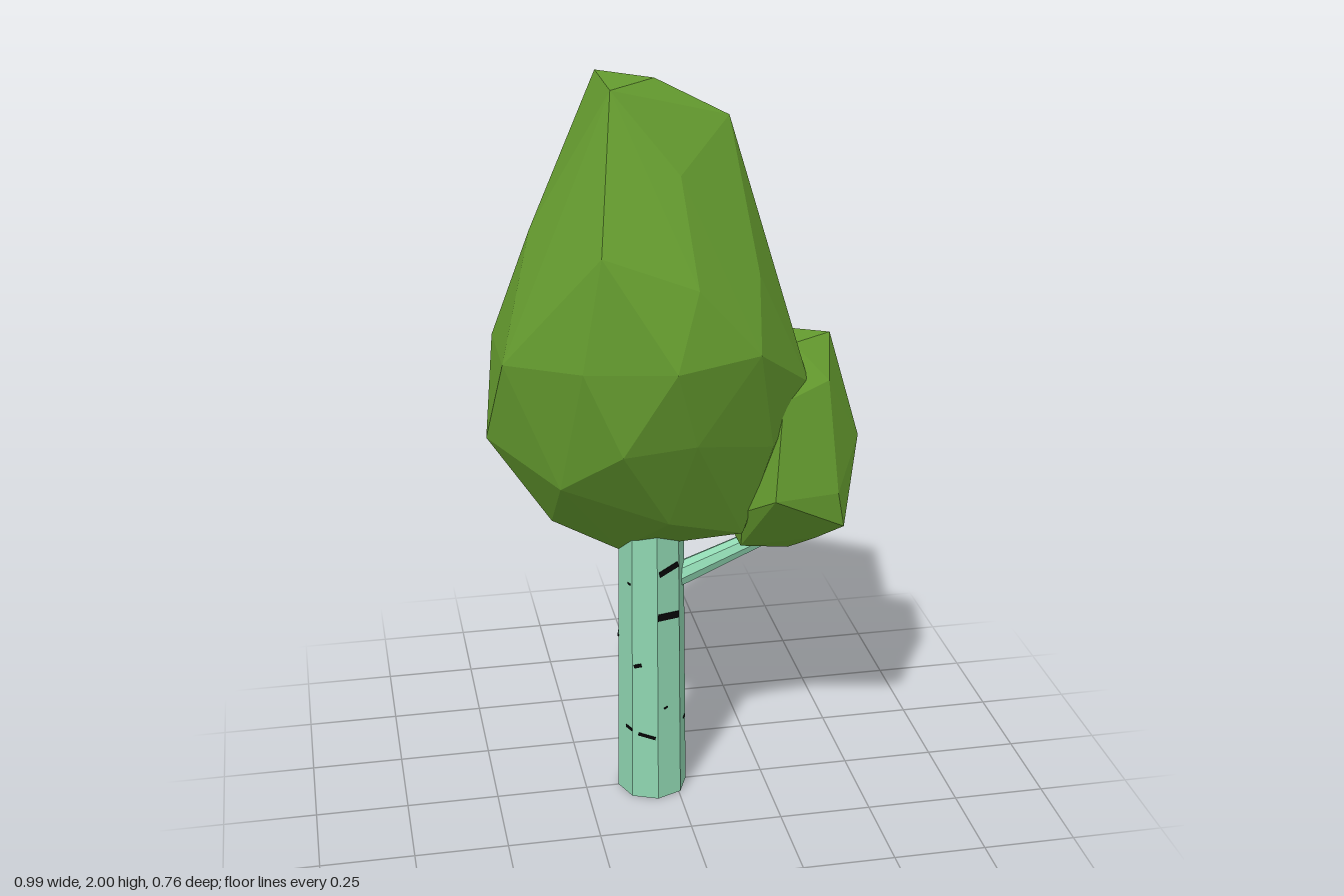
import * as THREE from 'three';
import { ConvexGeometry } from 'three/addons/geometries/ConvexGeometry.js';

const material = (name, color) => {
  const m = new THREE.MeshStandardMaterial({ color });
  m.name = name;
  return m;
};

export function createModel() {
  const leaf = material('leafGreen', 0x659c2f);
  const bark = material('mintBark', 0x8fd6b1);
  const black = material('barkBlack', 0x060606);
  const tree = new THREE.Group();
  tree.name = 'tree';

  const add = (name, geometry, mat, parent = tree) => {
    const mesh = new THREE.Mesh(geometry, mat);
    mesh.name = name;
    parent.add(mesh);
    return mesh;
  };
  const flat = (geometry) => {
    const g = geometry.toNonIndexed();
    g.computeVertexNormals();
    return g;
  };

  // Main crown: outlines in the xy plane at rising depth, mirrored front to back
  const layers = [
    [0, [[0.14, 1.9], [-0.05, 2], [-0.37, 1.63], [-0.495, 1.08], [-0.33, 0.83],
      [-0.15, 0.73], [0.28, 1.0], [0.3, 1.36]]],
    [0.12, [[-0.18, 2], [-0.46, 1.32], [0.16, 0.805], [0.33, 1.22]]],
    [0.19, [[-0.02, 1.8], [0.18, 1.54], [-0.33, 1.0], [-0.05, 0.88]]],
    [0.2, [[-0.33, 1.52], [0.22, 1.08]]],
    [0.31, [[-0.235, 1.64], [-0.285, 1.35], [0.16, 1.37], [0, 1.14]]],
    [0.325, [[0, 1.55], [-0.19, 1.13]]],
    [0.382, [[-0.063, 1.36]]],
  ];
  const crown = [];
  for (const [z, outline] of layers)
    for (const [x, y] of outline)
      for (const side of z ? [-1, 1] : [1]) crown.push(new THREE.Vector3(x, y, side * z));
  add('mainCrown', new ConvexGeometry(crown), leaf);

  // Small crown carried by the side branch
  const small = [
    [0.415, 1.31, 0], [0.3, 1.31, -0.06], [0.3, 1.31, 0.07], [0.385, 1.21, -0.14],
    [0.385, 1.22, 0.12], [0.44, 0.87, -0.11], [0.49, 1.03, 0.04], [0.42, 0.83, 0.18],
    [0.4, 0.93, 0.19], [0.25, 1.14, -0.19], [0.25, 1.19, 0.18], [0.22, 0.94, 0.238],
    [0.22, 0.98, -0.2], [0.4, 0.79, 0.03], [0.3, 0.725, 0.06], [0.3, 0.725, -0.06],
    [0.36, 0.78, 0.13], [0.17, 0.74, 0.06], [0.17, 0.74, -0.05], [0.16, 0.87, 0.13],
    [0.16, 0.88, -0.12], [0.2, 1.2, 0], [0.33, 0.79, -0.14],
  ].map((p) => new THREE.Vector3(...p));
  add('smallCrown', new ConvexGeometry(small), leaf);

  // Eight-sided trunk
  const trunkX = -0.063, height = 0.9, rBottom = 0.096, rTop = 0.088;
  const trunk = add('trunk', flat(new THREE.CylinderGeometry(rTop, rBottom, height, 8)), bark);
  trunk.position.set(trunkX, height / 2, 0);

  // Side branch
  const from = new THREE.Vector3(0, 0.637, 0), to = new THREE.Vector3(0.34, 0.775, 0);
  const dir = to.clone().sub(from);
  const branch = add('branch', flat(new THREE.CylinderGeometry(0.022, 0.034, dir.length(), 8)), bark);
  branch.position.copy(from).add(to).multiplyScalar(0.5);
  branch.quaternion.setFromUnitVectors(new THREE.Vector3(0, 1, 0), dir.normalize());

  // Bark marks: trunk face, sideways offset, height, width, thickness, tilt
  const marks = [
    [0, 0, 0.557, 0.066, 0.02, -0.08], [0, 0.002, 0.695, 0.062, 0.016, 0.3],
    [0, -0.01, 0.28, 0.012, 0.005, 0.3],
    [7, -0.02, 0.41, 0.022, 0.01, 0.3], [7, 0.005, 0.195, 0.05, 0.009, -0.2],
    [6, 0.02, 0.21, 0.03, 0.008, 0], [6, 0.02, 0.65, 0.012, 0.005, 0],
    [1, 0.015, 0.21, 0.02, 0.004, 0],
    [2, 0.009, 0.444, 0.05, 0.005, 0], [2, 0.009, 0.434, 0.05, 0.005, 0],
    [2, 0, 0.21, 0.03, 0.004, 0],
    [3, 0, 0.705, 0.068, 0.032, 0.12], [3, 0, 0.15, 0.064, 0.01, -0.05],
    [3, -0.005, 0.438, 0.056, 0.009, 0],
    [4, 0, 0.61, 0.068, 0.036, 0.12], [4, 0, 0.165, 0.06, 0.006, 0],
    [4, -0.028, 0.45, 0.01, 0.008, 0],
    [5, 0, 0.45, 0.088, 0.02, 0.75],
  ];
  const barkMarks = new THREE.Group();
  barkMarks.name = 'barkMarks';
  tree.add(barkMarks);
  for (const [face, offset, y, w, h, tilt] of marks) {
    const pivot = new THREE.Group();
    pivot.name = 'barkMarkPivot';
    pivot.position.set(trunkX, y, 0);
    pivot.rotation.y = (face + 0.5) * Math.PI / 4;
    const mark = add('barkMark', new THREE.BoxGeometry(w, h, 0.004), black, pivot);
    const radius = rBottom + (rTop - rBottom) * y / height;
    mark.position.set(offset, 0, radius * Math.cos(Math.PI / 8));
    mark.rotation.z = tilt;
    barkMarks.add(pivot);
  }
  return tree;
}
